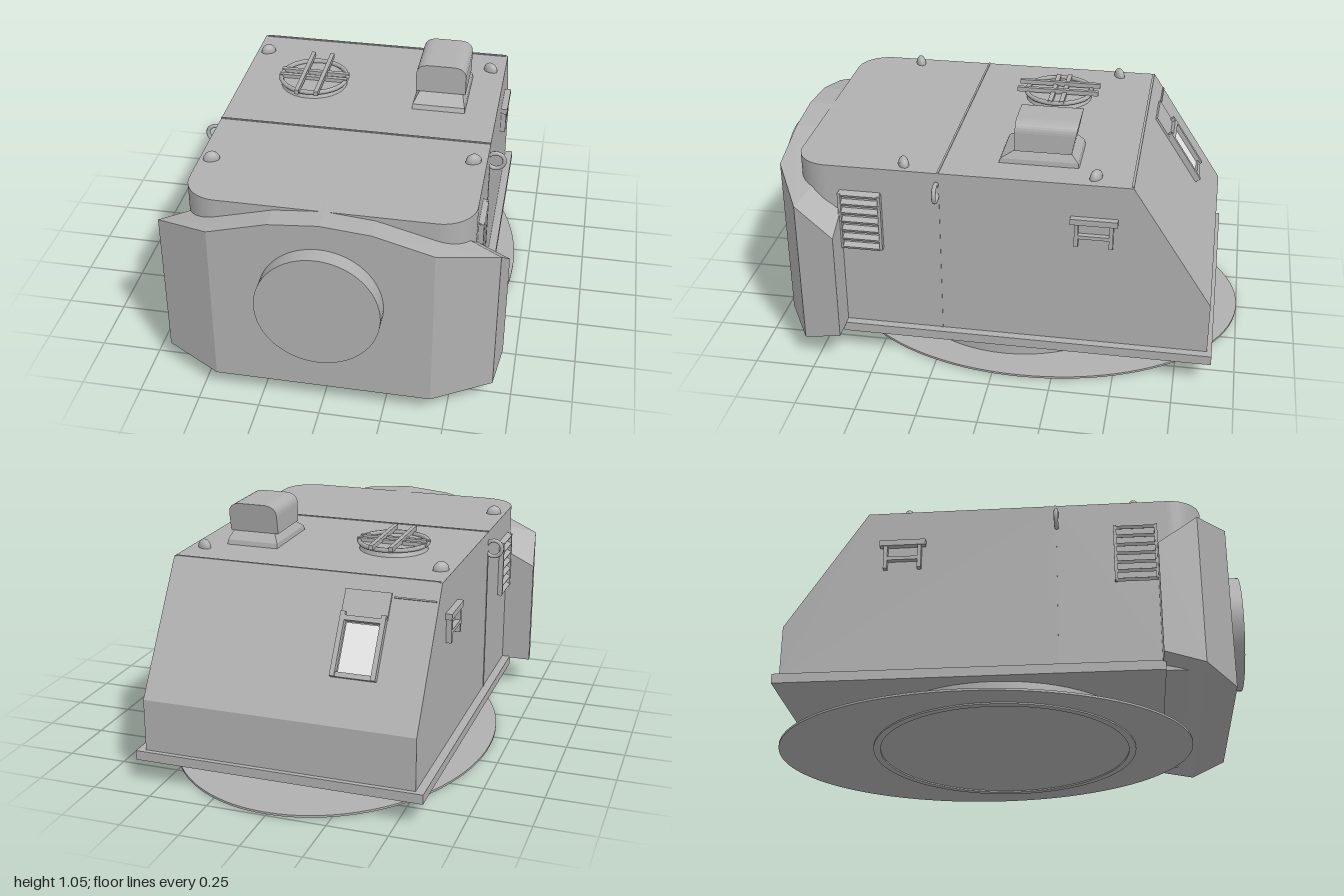
import * as THREE from 'three';
import { ConvexGeometry } from 'three/addons/geometries/ConvexGeometry.js';

const grey = new THREE.MeshStandardMaterial({ color: 0xb0b0b0 });
grey.name = 'armour grey';
const pale = new THREE.MeshStandardMaterial({ color: 0xf6f6f6 });
pale.name = 'window white';

export function createModel() {
  const model = new THREE.Group();
  model.name = 'gunTurret';

  const add = (name, geo, x = 0, y = 0, z = 0, parent = model, mat = grey) => {
    const m = new THREE.Mesh(geo, mat);
    m.name = name;
    m.position.set(x, y, z);
    parent.add(m);
    return m;
  };
  const box = (name, w, h, d, x, y, z, parent, mat) =>
    add(name, new THREE.BoxGeometry(w, h, d), x, y, z, parent, mat);
  const group = (name, x, y, z, parent = model) => {
    const g = new THREE.Group();
    g.name = name;
    g.position.set(x, y, z);
    parent.add(g);
    return g;
  };
  // side profile of [z, y] points, extruded across x and centred on cx
  const sideExtrude = (pts, width, cx = 0, bevel = 0) => {
    const g = new THREE.ExtrudeGeometry(
      new THREE.Shape(pts.map(([z, y]) => new THREE.Vector2(-z, y))),
      { depth: width - 2 * bevel, bevelEnabled: bevel > 0, bevelSize: bevel, bevelThickness: bevel,
        bevelOffset: -bevel, bevelSegments: 4 });
    return g.translate(0, 0, -width / 2 + bevel).rotateY(Math.PI / 2).translate(cx, 0, 0);
  };

  // oval deck plate, turning ring and under-ring
  add('deckPlate', new THREE.CylinderGeometry(1, 1, 0.009, 96).scale(0.685, 1, 0.885), 0, 0.0105, -0.115);
  add('turningRing', new THREE.CylinderGeometry(0.545, 0.545, 0.1, 64), 0, 0.06, -0.03);
  const ringShape = new THREE.Shape().absarc(0, 0, 0.56, 0, Math.PI * 2);
  ringShape.holes.push(new THREE.Path().absarc(0, 0, 0.53, 0, Math.PI * 2, true));
  add('underRing', new THREE.ExtrudeGeometry(ringShape, { depth: 0.007, bevelEnabled: false, curveSegments: 48 })
    .rotateX(-Math.PI / 2), 0, 0, -0.03);

  // base flange
  box('baseFlange', 1.21, 0.04, 1.55, 0, 0.12, -0.125);

  // turret house: sloped rear half and round-cornered front half
  add('rearHouse', sideExtrude([[0.23, 0.14], [0.23, 0.87], [-0.55, 0.87], [-0.88, 0.36], [-0.88, 0.14]], 1.14));
  const plan = new THREE.Shape();
  plan.moveTo(-0.57, -0.23);
  plan.lineTo(-0.57, -0.69);
  plan.absarc(-0.43, -0.69, 0.14, Math.PI, Math.PI * 1.5);
  plan.lineTo(0.43, -0.83);
  plan.absarc(0.43, -0.69, 0.14, -Math.PI / 2, 0);
  plan.lineTo(0.57, -0.23);
  add('frontHouse', new THREE.ExtrudeGeometry(plan, { depth: 0.76, bevelEnabled: false, curveSegments: 10 })
    .rotateX(-Math.PI / 2), 0, 0.11, 0);

  // weld seams
  box('roofSeam', 1.14, 0.005, 0.008, 0, 0.871, 0.23);
  box('rearRoofSeam', 1.12, 0.005, 0.01, 0, 0.871, -0.545);

  // faceted front shield: [x, front z, front top y, front bottom y]
  const shield = [];
  for (const s of [-1, 1]) {
    for (const [x, z, top, bottom] of [
      [0, 0.93, 0.873, 0.085], [0.2, 0.93, 0.855, 0.085], [0.44, 0.93, 0.79, 0.085],
      [0.675, 0.8, 0.727, 0.095], [0.7, 0.64, 0.605, 0.135],
      [0, 0.64, 0.868, 0.135], [0.2, 0.64, 0.85, 0.135]])
      shield.push(new THREE.Vector3(s * x, top, z), new THREE.Vector3(s * x, bottom, z));
  }
  add('frontShield', new ConvexGeometry(shield));
  add('gunPort', new THREE.CylinderGeometry(0.248, 0.248, 0.09, 64).rotateX(Math.PI / 2), 0, 0.517, 0.955);

  // roof sight: flared foot and hooded head
  const foot = [];
  for (const [y, x0, x1, z0, z1] of [[0.865, 0.208, 0.435, -0.32, 0.01], [0.89, 0.21, 0.433, -0.315, 0],
    [0.93, 0.235, 0.415, -0.28, -0.065]])
    for (const x of [x0, x1]) for (const z of [z0, z1]) foot.push(new THREE.Vector3(x, y, z));
  add('sightFoot', new ConvexGeometry(foot));
  const hood = new THREE.Shape();
  hood.moveTo(-0.107, 0);
  hood.lineTo(0.107, 0);
  hood.lineTo(0.107, 0.08);
  hood.quadraticCurveTo(0.105, 0.125, 0.05, 0.125);
  hood.lineTo(-0.05, 0.125);
  hood.quadraticCurveTo(-0.105, 0.125, -0.107, 0.08);
  const hoodGeo = new THREE.ExtrudeGeometry(hood, { depth: 0.23, bevelEnabled: false, curveSegments: 8 });
  const hp = hoodGeo.attributes.position;
  for (let i = 0; i < hp.count; i++) // rear end leans back
    if (hp.getZ(i) < 0.01) hp.setZ(i, -0.025 * hp.getY(i) / 0.125);
  hoodGeo.computeVertexNormals();
  add('sightHood', hoodGeo, 0.322, 0.925, -0.287);

  // round roof hatch with crossed guard bars
  const hatch = group('roofHatch', -0.25, 0.87, -0.145);
  add('hatchLid', new THREE.CylinderGeometry(0.135, 0.145, 0.025, 32), 0, 0.0125, 0, hatch);
  add('hatchRim', new THREE.TorusGeometry(0.145, 0.01, 6, 32).rotateX(Math.PI / 2), 0, 0.03, 0, hatch);
  for (const x of [-0.04, 0.045]) box('longBar', 0.018, 0.02, 0.36, x, 0.045, 0, hatch);
  for (const z of [-0.03, 0.02]) box('crossBar', 0.3, 0.016, 0.02, 0, 0.035, z, hatch);

  // lifting lugs on the roof
  for (const [x, z, turn] of [[-0.52, -0.39, 0.5], [0.505, -0.395, -0.5], [0.515, 0.38, 0.4], [-0.52, 0.55, 0.4]]) {
    const lug = add('liftingLug', new THREE.SphereGeometry(1, 10, 8).scale(0.034, 0.034, 0.022), x, 0.873, z);
    lug.rotation.y = turn;
  }

  // side fittings, mirrored
  for (const s of [-1, 1]) {
    const side = group(s > 0 ? 'leftFittings' : 'rightFittings', s * 0.57, 0, 0);
    box('sideSeam', 0.005, 0.62, 0.008, 0, 0.45, 0.23, side);
    const louvre = group('louvre', s * 0.008, 0.63, 0.555, side);
    for (const z of [-0.083, 0.083]) box('louvrePost', 0.028, 0.25, 0.012, 0, 0, z, louvre);
    for (let i = 0; i < 7; i++)
      box('louvreSlat', 0.026, 0.014, 0.17, 0, -0.12 + i * 0.04, 0, louvre).rotation.z = -s * 0.5;
    const vent = group('sideVent', s * 0.01, 0.665, -0.4, side);
    box('ventHood', 0.035, 0.025, 0.19, 0, 0.05, 0, vent);
    box('ventSill', 0.025, 0.015, 0.15, 0, -0.02, 0, vent);
    for (const z of [-0.07, 0.07]) box('ventPost', 0.025, 0.11, 0.016, 0, -0.01, z, vent);
    add('sideRing', new THREE.TorusGeometry(0.036, 0.009, 8, 16), s * 0.025, 0.795, 0.235, side);
  }

  // framed window on the sloped rear
  const win = group('rearWindow', -0.285, 0.646, -0.695);
  win.rotation.set(-0.574, Math.PI, 0, 'YXZ');
  box('windowPane', 0.135, 0.2, 0.008, 0, -0.03, 0.003, win, pale);
  for (const x of [-0.083, 0.083]) box('windowPost', 0.02, 0.26, 0.035, x, -0.02, 0.008, win);
  box('windowSill', 0.18, 0.02, 0.025, 0, -0.14, 0.005, win);
  box('windowHead', 0.18, 0.02, 0.035, 0, 0.085, 0.008, win);
  box('windowFlap', 0.19, 0.11, 0.012, 0, 0.15, 0.003, win);
  box('rearPanel', 0.17, 0.006, 0.008, 0.19, 0.19, 0.002, win);

  return model;
}
